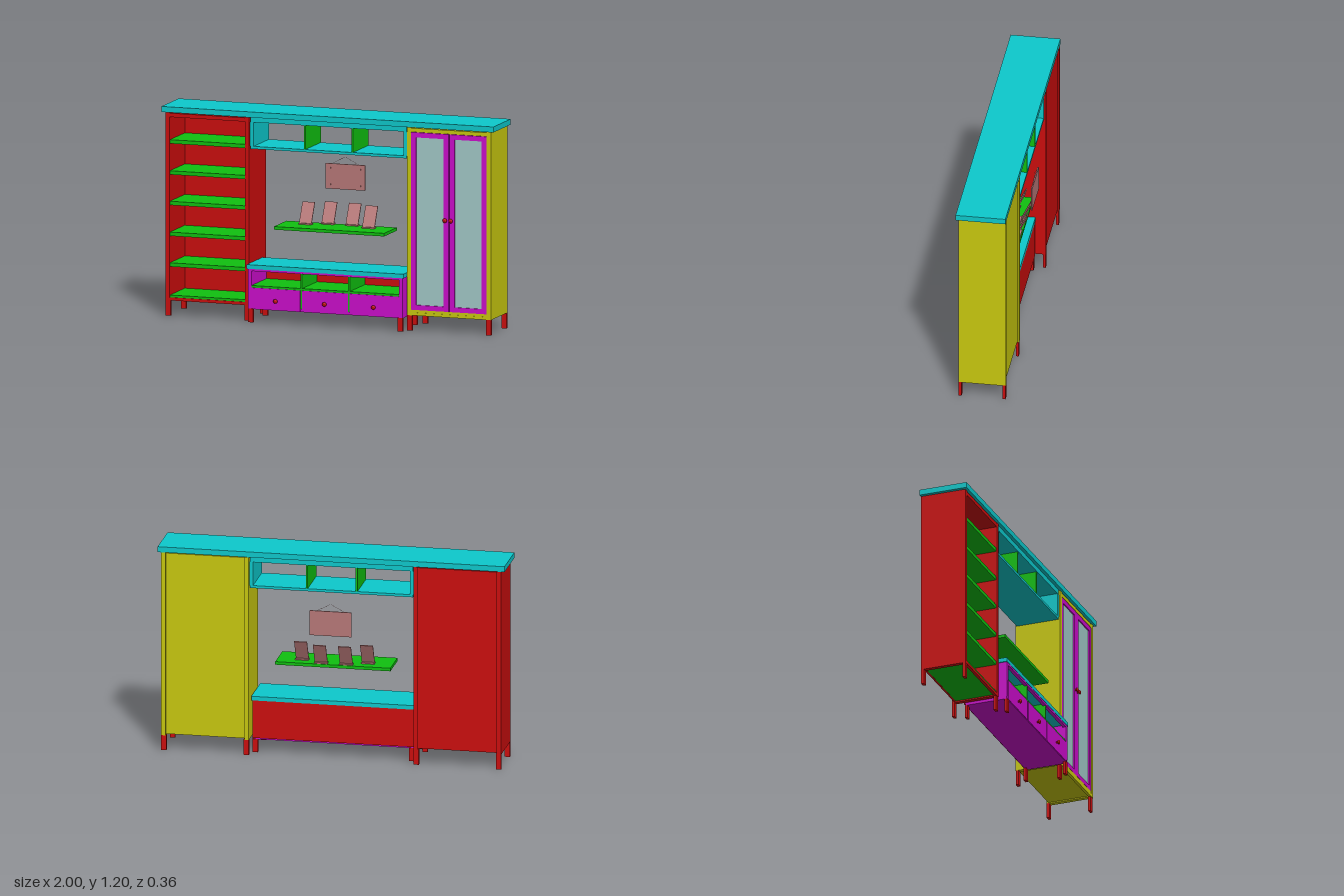
import * as THREE from 'three';

const mat = (color) => new THREE.MeshStandardMaterial({ color, flatShading: true });

export function createModel() {
  const root = new THREE.Group();
  const M = {
    red: mat(0xcc0d0d), yellow: mat(0xc9c90f), cyan: mat(0x0dc9cc), magenta: mat(0xcc0dcc),
    green: mat(0x10c010), glass: mat(0xa2c9c8), rose: mat(0xb87878),
  };

  // box given by its limits on each axis
  const box = (parent, name, m, x0, x1, y0, y1, z0, z1) => {
    const mesh = new THREE.Mesh(new THREE.BoxGeometry(x1 - x0, y1 - y0, z1 - z0), m);
    mesh.position.set((x0 + x1) / 2, (y0 + y1) / 2, (z0 + z1) / 2);
    mesh.name = name;
    parent.add(mesh);
    return mesh;
  };
  const group = (name) => {
    const g = new THREE.Group();
    g.name = name;
    root.add(g);
    return g;
  };
  const legs = (parent, xs, zs, h) => {
    for (const x of xs) for (const z of zs)
      box(parent, 'leg', M.red, x - 0.015, x + 0.015, 0, h, z - 0.008, z + 0.008);
  };
  // turned knob pointing to the front
  const knobProfile = [[0, 0], [0.006, 0], [0.005, 0.008], [0.012, 0.011], [0.013, 0.015], [0.009, 0.019], [0, 0.02]]
    .map(([r, h]) => new THREE.Vector2(r, h));
  const knob = (parent, x, y, z) => {
    const k = new THREE.Mesh(new THREE.LatheGeometry(knobProfile, 16),
      new THREE.MeshStandardMaterial({ color: M.red.color }));
    k.rotation.x = Math.PI / 2;
    k.position.set(x, y, z);
    k.name = 'knob';
    parent.add(k);
  };
  // upright cabinet shell with a recessed back
  const shell = (parent, m, x0, x1, t) => {
    box(parent, 'sidePanel', m, x0, x0 + t, 0.088, 1.167, -0.16, 0.112);
    box(parent, 'sidePanel', m, x1 - t, x1, 0.088, 1.167, -0.16, 0.112);
    box(parent, 'topPanel', m, x0 + t, x1 - t, 1.14, 1.162, -0.15, 0.112);
    box(parent, 'backPanel', m, x0 + t, x1 - t, 0.095, 1.14, -0.15, -0.138);
    box(parent, 'frontRail', m, x0 + t, x1 - t, 0.088, 0.105, 0.095, 0.112);
  };

  // crown slab across the whole unit
  box(root, 'topSlab', M.cyan, -1, 1, 1.168, 1.2, -0.16, 0.125);

  // open bookcase
  const bookcase = group('bookcase');
  shell(bookcase, M.red, -0.98, -0.475, 0.025);
  for (const y of [0.107, 0.292, 0.468, 0.645, 0.82, 0.998])
    box(bookcase, 'shelf', M.green, -0.955, -0.5, y - 0.011, y + 0.011, -0.138, 0.107);
  legs(bookcase, [-0.965, -0.49], [-0.15, 0.102], 0.09);

  // glazed cabinet with two doors
  const cabinet = group('glazedCabinet');
  shell(cabinet, M.yellow, 0.475, 0.98, 0.025);
  box(cabinet, 'bottomPanel', M.yellow, 0.5, 0.955, 0.095, 0.12, -0.138, 0.11);
  for (const [x0, x1] of [[0.5, 0.726], [0.73, 0.955]]) {
    const s = new THREE.Shape([[x0, 0.12], [x1, 0.12], [x1, 1.138], [x0, 1.138]]
      .map(([x, y]) => new THREE.Vector2(x, y)));
    s.holes.push(new THREE.Path([[x0 + 0.03, 0.148], [x0 + 0.03, 1.11], [x1 - 0.03, 1.11], [x1 - 0.03, 0.148]]
      .map(([x, y]) => new THREE.Vector2(x, y))));
    const frame = new THREE.Mesh(new THREE.ExtrudeGeometry(s, { depth: 0.018, bevelEnabled: false }), M.magenta);
    frame.position.z = 0.093;
    frame.name = 'doorFrame';
    cabinet.add(frame);
    box(cabinet, 'doorGlass', M.glass, x0 + 0.03, x1 - 0.03, 0.148, 1.11, 0.1, 0.104);
  }
  knob(cabinet, 0.707, 0.645, 0.111);
  knob(cabinet, 0.742, 0.645, 0.111);
  legs(cabinet, [0.49, 0.965], [-0.15, 0.102], 0.09);

  // low media unit
  const unit = group('mediaUnit');
  box(unit, 'counterTop', M.cyan, -0.472, 0.472, 0.306, 0.33, -0.1, 0.162);
  box(unit, 'bottomPanel', M.magenta, -0.465, 0.465, 0.076, 0.092, -0.092, 0.158);
  for (const s of [-1, 1])
    box(unit, 'sidePanel', M.magenta, s * 0.455 - 0.01, s * 0.455 + 0.01, 0.092, 0.306, -0.092, 0.16);
  box(unit, 'frontRail', M.magenta, -0.445, 0.445, 0.294, 0.306, 0.14, 0.16);
  box(unit, 'backPanel', M.red, -0.465, 0.465, 0.085, 0.306, -0.1, -0.09);
  box(unit, 'nicheShelf', M.green, -0.445, 0.445, 0.199, 0.211, -0.09, 0.157);
  for (const x of [-0.145, 0.142])
    box(unit, 'divider', M.green, x - 0.005, x + 0.005, 0.092, 0.305, -0.09, 0.156);
  for (const [x0, x1] of [[-0.447, -0.15], [-0.14, 0.137], [0.147, 0.447]])
    box(unit, 'drawerFront', M.magenta, x0, x1, 0.08, 0.199, 0.145, 0.161);
  for (const x of [-0.295, 0, 0.295]) knob(unit, x, 0.131, 0.161);
  legs(unit, [-0.45, 0.45], [-0.087, 0.153], 0.078);

  // open wall box below the crown
  const wallBox = group('wallBox');
  box(wallBox, 'boxBottom', M.cyan, -0.47, 0.47, 0.985, 1.0, -0.15, 0.105);
  box(wallBox, 'boxTop', M.cyan, -0.47, 0.47, 1.138, 1.168, -0.15, 0.105);
  for (const s of [-1, 1])
    box(wallBox, 'boxSide', M.cyan, s * 0.462 - 0.01, s * 0.462 + 0.01, 1.0, 1.138, -0.15, 0.105);
  for (const x of [-0.145, 0.142])
    box(wallBox, 'boxDivider', M.green, x - 0.005, x + 0.005, 1.0, 1.138, -0.15, 0.1);

  // floating shelf with leaning photo frames
  const display = group('displayShelf');
  box(display, 'floatingShelf', M.green, -0.332, 0.332, 0.528, 0.546, -0.11, 0.097);
  for (const [x, z] of [[-0.19, -0.03], [-0.073, -0.08], [0.072, -0.08], [0.19, -0.03]]) {
    const photo = new THREE.Group();
    photo.name = 'photoFrame';
    photo.position.set(x, 0.546, z);
    display.add(photo);
    box(photo, 'frameFoot', M.rose, -0.038, 0.038, 0, 0.007, -0.025, 0.01);
    const panel = box(photo, 'framePanel', M.rose, -0.037, 0.037, 0, 0.13, -0.003, 0.003);
    panel.position.set(0, 0.061, -0.03);
    panel.rotation.x = -0.45;
  }

  // hanging picture with pins and cord
  const picture = group('wallPicture');
  box(picture, 'picturePanel', M.rose, -0.12, 0.12, 0.735, 0.88, -0.175, -0.168);
  for (const x of [-0.09, 0.09]) {
    for (const y of [0.76, 0.855]) box(picture, 'pin', M.rose, x - 0.004, x + 0.004, y - 0.004, y + 0.004, -0.168, -0.165);
    const cord = new THREE.LineCurve3(new THREE.Vector3(x, 0.875, -0.172), new THREE.Vector3(0, 0.922, -0.172));
    const mesh = new THREE.Mesh(new THREE.TubeGeometry(cord, 1, 0.0008, 5), M.rose);
    mesh.name = 'cord';
    picture.add(mesh);
  }
  return root;
}
